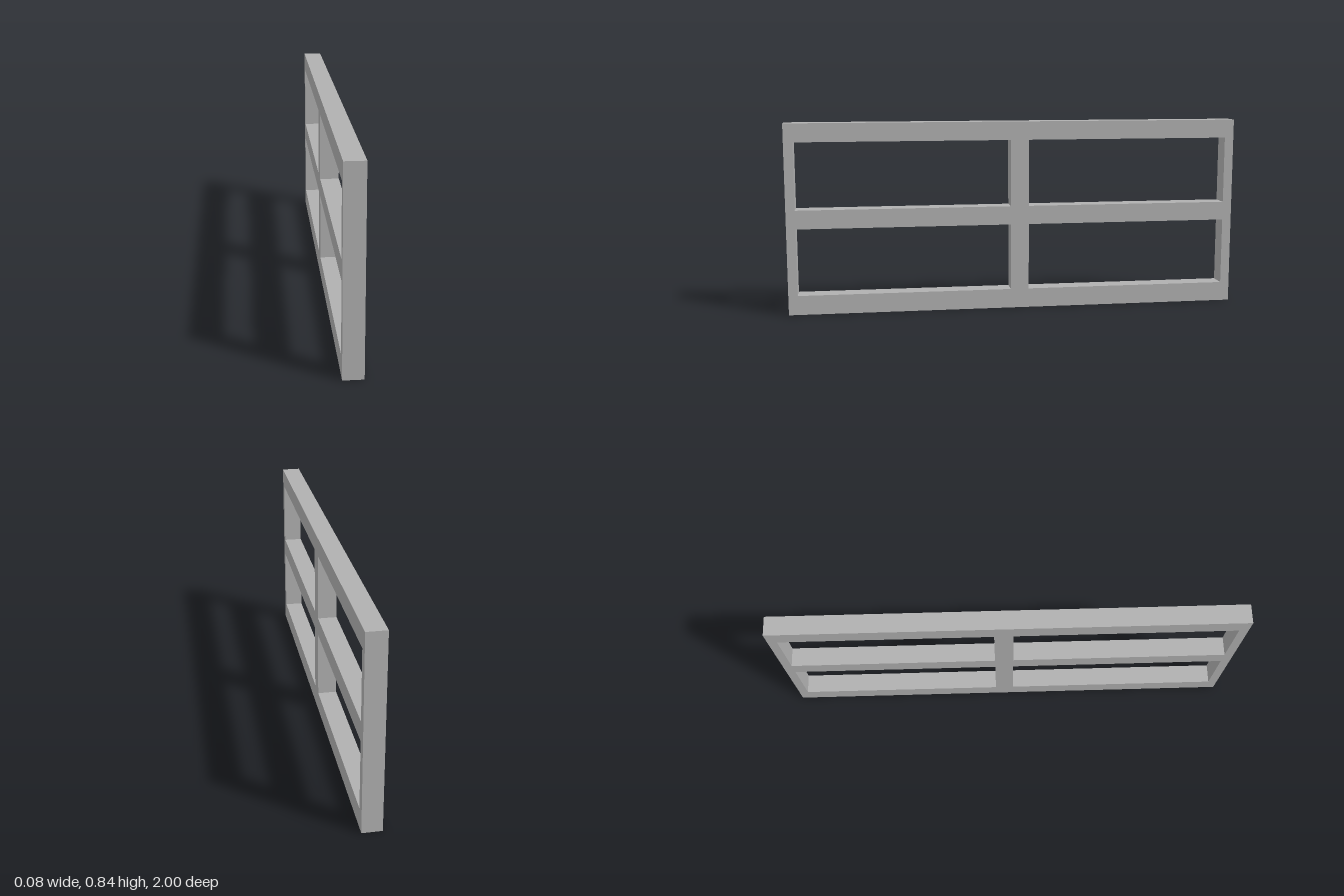
import * as THREE from 'three';

const HEIGHT = 0.836, DEPTH = 0.083;

// Adds a rectangle to a shape or path, in (z, y)
function rect(path, z0, y0, z1, y1) {
  path.moveTo(z0, y0);
  path.lineTo(z1, y0);
  path.lineTo(z1, y1);
  path.lineTo(z0, y1);
  path.closePath();
  return path;
}

export function createModel() {
  const group = new THREE.Group();
  group.name = 'windowFrame';
  const grey = new THREE.MeshStandardMaterial({ color: 0xb0b0b0 });
  grey.name = 'grey';

  // Outer outline with four openings; the mullion sits slightly off centre
  const outline = rect(new THREE.Shape(), -1, 0, 1, HEIGHT);
  for (const [z0, z1] of [[-0.96, -0.06], [0.021, 0.96]]) {
    for (const [y0, y1] of [[0.085, 0.379], [0.461, 0.755]]) {
      outline.holes.push(rect(new THREE.Path(), z0, y0, z1, y1));
    }
  }

  // Extrude through the thickness, then turn the outline along z
  const geometry = new THREE.ExtrudeGeometry(outline, { depth: DEPTH, bevelEnabled: false });
  geometry.translate(0, 0, -DEPTH / 2);
  geometry.rotateY(-Math.PI / 2);

  const frame = new THREE.Mesh(geometry, grey);
  frame.name = 'frame';
  group.add(frame);
  return group;
}
